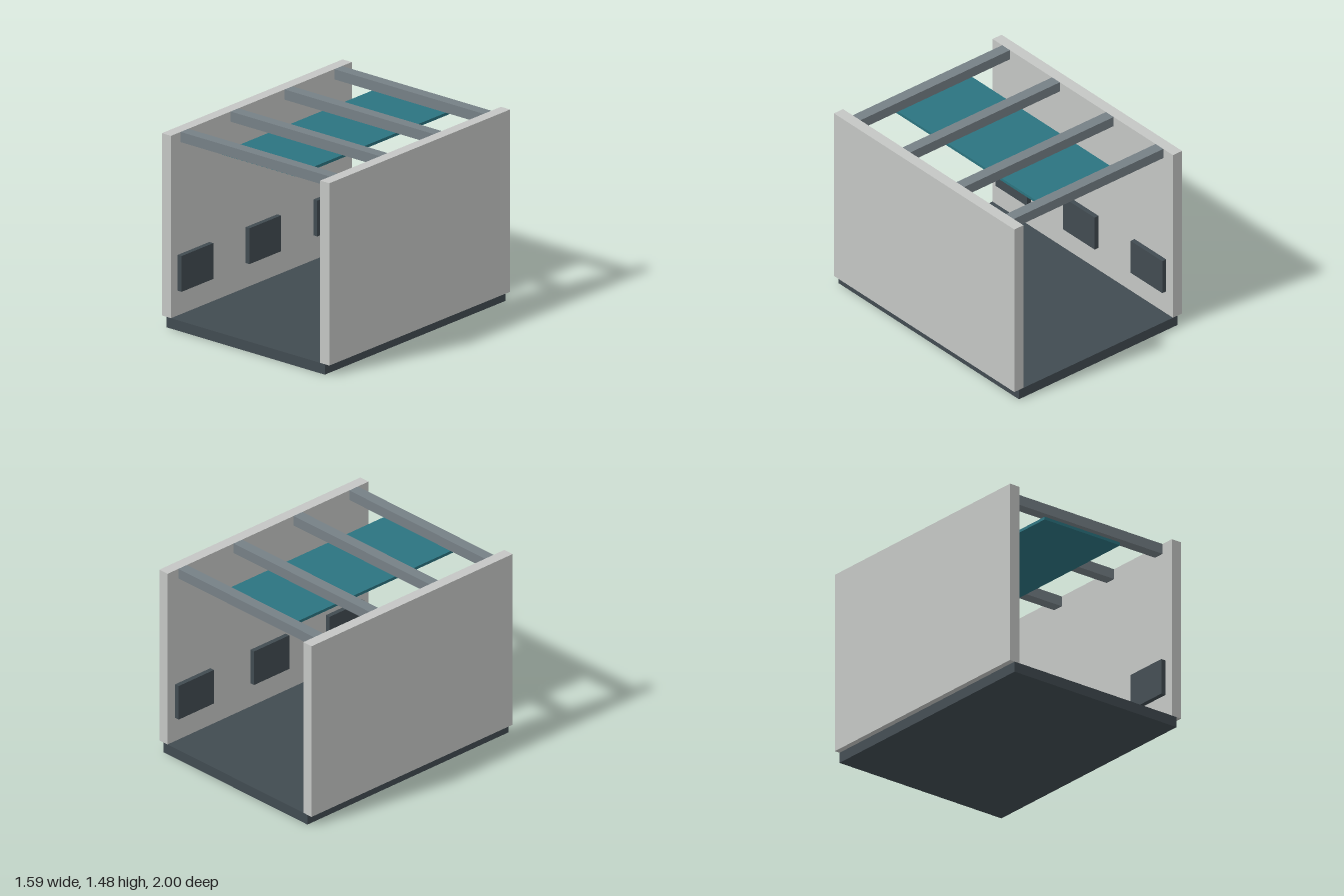
import * as THREE from 'three';

export function createModel() {
  const group = new THREE.Group();
  const material = (name, color) => {
    const m = new THREE.MeshStandardMaterial({ color });
    m.name = name;
    return m;
  };
  const darkSlate = material('darkSlate', 0x414b51);
  const paleGrey = material('paleGrey', 0xc4c6c4);
  const steelGrey = material('steelGrey', 0x768086);
  const teal = material('teal', 0x2b7480);

  // Box given by its lower and upper limits on each axis
  const box = (name, mat, [x0, x1], [y0, y1], [z0, z1]) => {
    const mesh = new THREE.Mesh(new THREE.BoxGeometry(x1 - x0, y1 - y0, z1 - z0), mat);
    mesh.position.set((x0 + x1) / 2, (y0 + y1) / 2, (z0 + z1) / 2);
    mesh.name = name;
    group.add(mesh);
  };

  // Floor slab, slightly narrower than the walls
  box('floor', darkSlate, [-0.75, 0.75], [0, 0.08], [-1, 1]);

  // Side walls, each with three raised panels on the inside
  for (const [side, s] of [['left', 1], ['right', -1]]) {
    const span = (a, b) => (s > 0 ? [a, b] : [-b, -a]);
    box(`${side}Wall`, paleGrey, span(0.707, 0.793), [0.08, 1.48], [-1, 1]);
    [-0.75, 0, 0.75].forEach((z, i) => {
      box(`${side}WallPanel${i + 1}`, darkSlate, span(0.67, 0.707), [0.27, 0.545], [z - 0.175, z + 0.175]);
    });
  }

  // Roof beams between the walls
  [-0.85, -0.3, 0.297, 0.85].forEach((z, i) => {
    box(`roofBeam${i + 1}`, steelGrey, [-0.707, 0.707], [1.402, 1.48], [z - 0.043, z + 0.043]);
  });

  // Long ceiling panel hung under the beams
  box('ceilingPanel', teal, [-0.35, 0.35], [1.38, 1.402], [-0.85, 0.85]);

  return group;
}
